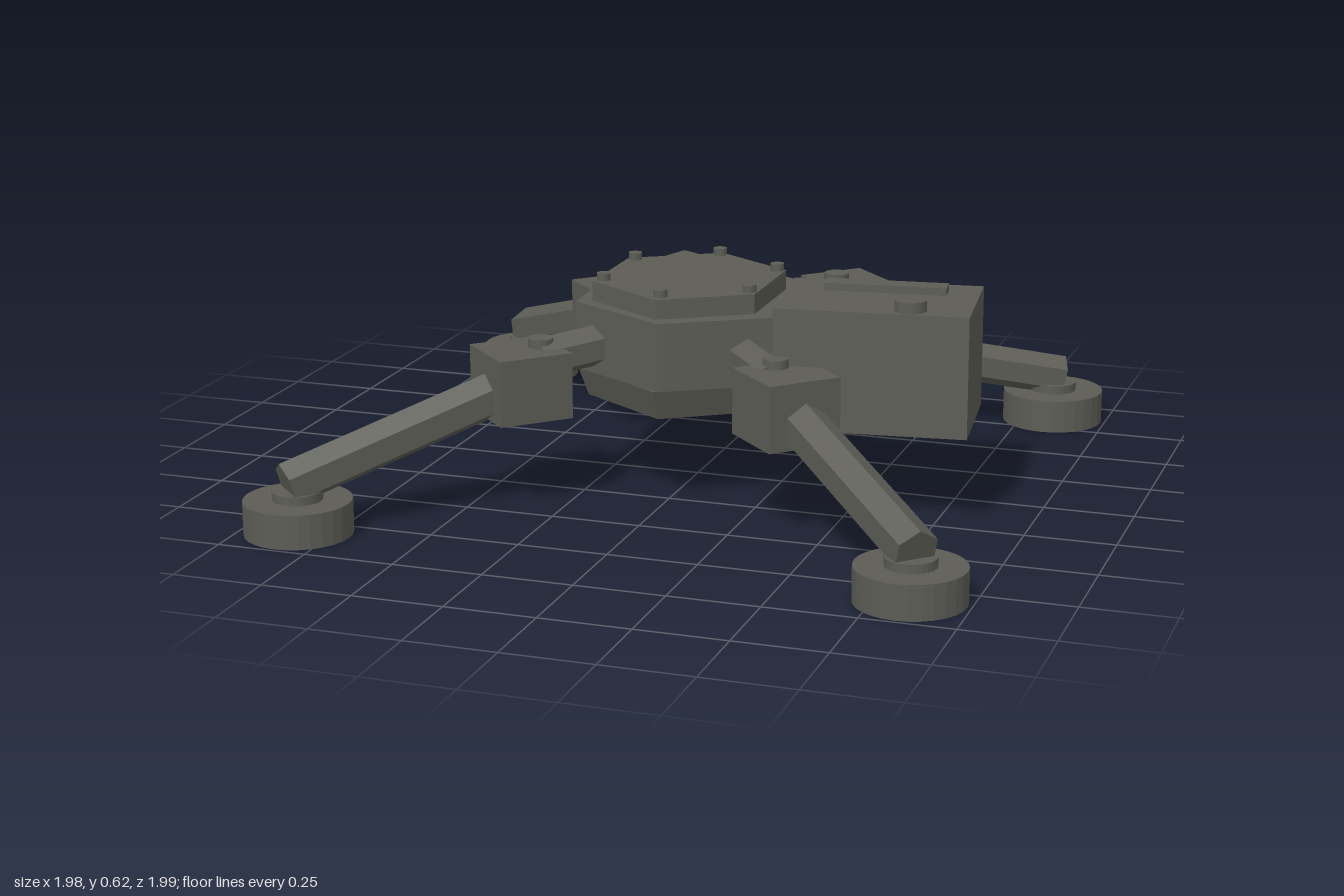
import * as THREE from 'three';

export function createModel() {
  const model = new THREE.Group();
  const grey = new THREE.MeshStandardMaterial({ color: 0x5c5c55, flatShading: true });
  grey.name = 'dull olive grey';

  const add = (name, geometry, x = 0, y = 0, z = 0, parent = model) => {
    const mesh = new THREE.Mesh(geometry, grey);
    mesh.name = name;
    mesh.position.set(x, y, z);
    parent.add(mesh);
    return mesh;
  };
  const disc = (name, r, y0, y1, x, z, parent = model) =>
    add(name, new THREE.CylinderGeometry(r, r, y1 - y0, 28), x, (y0 + y1) / 2, z, parent);
  // Upright prism over an outline of [x, z] points
  const prism = (name, outline, y0, y1) => {
    const shape = new THREE.Shape(outline.map(([x, z]) => new THREE.Vector2(x, -z)));
    const geometry = new THREE.ExtrudeGeometry(shape, { depth: y1 - y0, bevelEnabled: false });
    return add(name, geometry.rotateX(-Math.PI / 2), 0, y0, 0);
  };
  // Six-sided beam between two points
  const beam = (name, a, b, r, parent = model) => {
    const from = new THREE.Vector3(...a), to = new THREE.Vector3(...b);
    const mid = from.clone().add(to).multiplyScalar(0.5);
    const mesh = add(name, new THREE.CylinderGeometry(r, r, from.distanceTo(to), 6), mid.x, mid.y, mid.z, parent);
    const axis = to.sub(from).normalize();
    const side = new THREE.Vector3(0, 1, 0).cross(axis).normalize();
    mesh.quaternion.setFromRotationMatrix(
      new THREE.Matrix4().makeBasis(side, axis, side.clone().cross(axis)));
    return mesh;
  };

  // Body: bent upper shell over a slightly tapered hexagonal base
  prism('upperShell', [[-0.2, -0.47], [0.285, -0.19], [0.285, 0.21],
    [0.01, 0.375], [-0.285, 0.21], [-0.305, -0.17]], 0.34, 0.53);
  const base = add('lowerShell', new THREE.CylinderGeometry(0.335, 0.305, 0.085, 6), 0, 0.2975, 0);
  base.scale.z = 1.13;

  // Top hatch with a ring of bolts
  const hatch = add('topHatch', new THREE.CylinderGeometry(0.271, 0.271, 0.055, 6), -0.01, 0.5575, 0.04);
  hatch.scale.z = 1.08;
  for (let i = 0; i < 6; i++) {
    const a = i * Math.PI / 3;
    disc('hatchBolt', 0.019, 0.58, 0.605, -0.01 + 0.244 * Math.sin(a), 0.03 + 0.259 * Math.cos(a));
  }

  // Side container with a raised bar and a cap
  const container = new THREE.Group();
  container.name = 'sideContainer';
  container.position.set(0.56, 0, 0.128);
  container.rotation.y = 0.125;
  model.add(container);
  add('containerBox', new THREE.BoxGeometry(0.525, 0.335, 0.352), 0, 0.4225, 0, container);
  add('containerBar', new THREE.BoxGeometry(0.335, 0.022, 0.06), 0.007, 0.6, -0.077, container);
  disc('containerCap', 0.043, 0.588, 0.62, 0.1, 0.126, container);

  // Hip block turned by 45 degrees, with a pivot cap
  const hip = (x, z, y0, y1, size, capX, capZ) => {
    add('hipBlock', new THREE.BoxGeometry(size, y1 - y0, size), x, (y0 + y1) / 2, z).rotation.y = Math.PI / 4;
    disc('hipCap', 0.035, y1 - 0.005, y1 + 0.025, capX, capZ);
  };
  const foot = (x, z) => {
    disc('foot', 0.147, 0, 0.095, x, z);
    disc('ankle', 0.068, 0.09, 0.12, x, z);
  };

  // Three sound legs
  for (const [sx, sz] of [[-1, 1], [1, 1], [-1, -1]]) {
    beam('hipStub', [sx * 0.2, 0.42, sz * 0.22], [sx * 0.34, 0.4, sz * 0.36], 0.058);
    hip(sx * 0.378, sz * 0.392, 0.25, 0.433, 0.212, sx * 0.335, sz * 0.35);
    beam('leg', [sx * 0.39, 0.335, sz * 0.4], [sx * 0.862, 0.138, sz * 0.868], 0.064);
    foot(sx * 0.842, sz * 0.843);
  }

  // Broken back leg: loose hip, dropped joint and bent limb
  hip(0.325, -0.38, 0.34, 0.505, 0.195, 0.305, -0.345);
  beam('brokenStub', [0.235, 0.42, -0.27], [0.16, 0.35, -0.56], 0.056);
  const joint = add('brokenJoint', new THREE.BoxGeometry(0.175, 0.14, 0.09), 0.165, 0.345, -0.552);
  joint.rotation.x = 0.45;
  beam('brokenUpperLeg', [0.19, 0.31, -0.565], [0.49, 0.21, -0.69], 0.06);
  beam('brokenLowerLeg', [0.47, 0.217, -0.68], [0.865, 0.135, -0.865], 0.06);
  foot(0.842, -0.852);

  return model;
}
